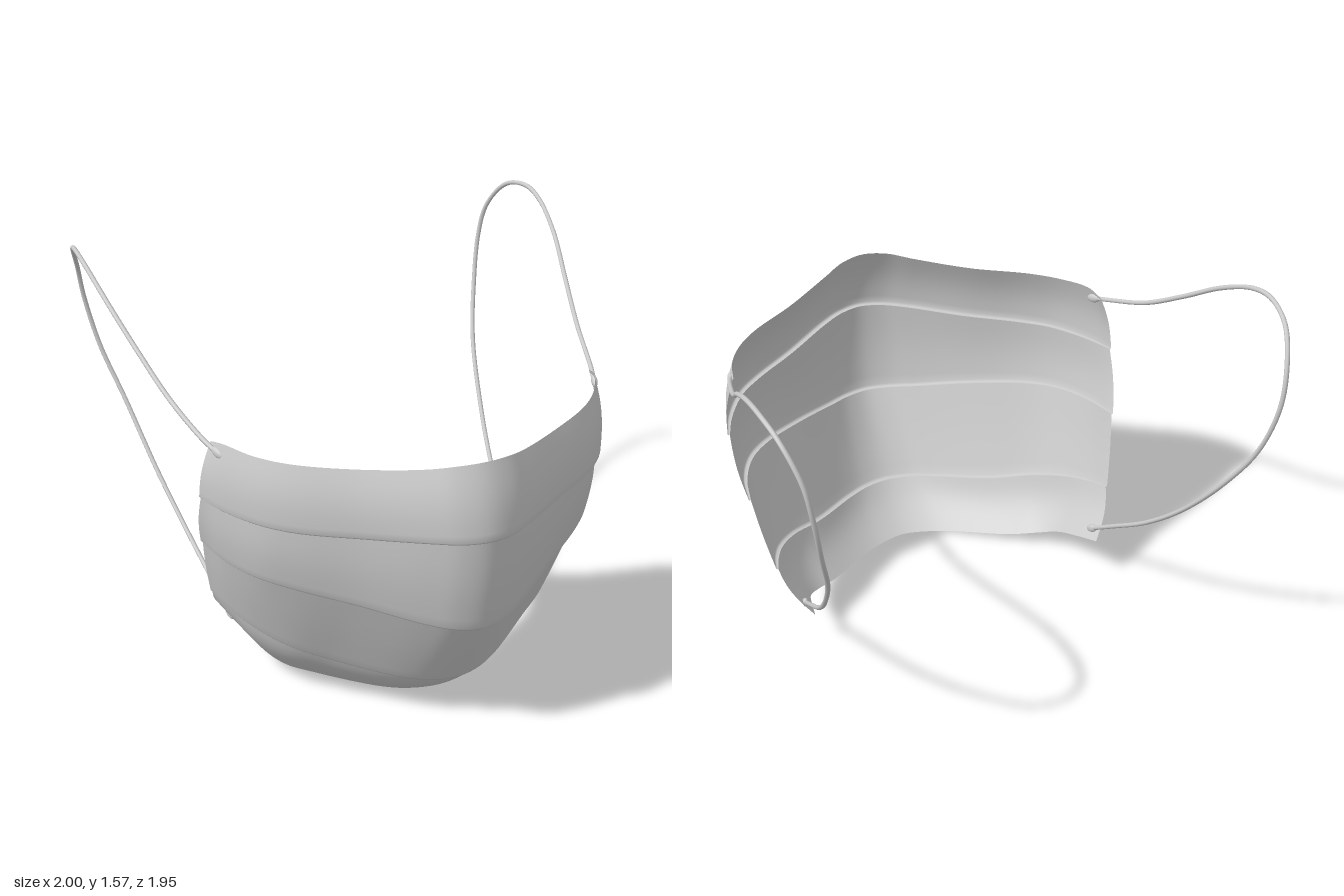
import * as THREE from 'three';

const material = new THREE.MeshStandardMaterial({ color: 0xcccccc, side: THREE.DoubleSide });
const COLS = 96;

// Half profiles of the fold lines, from the middle out to the left side edge.
const topEdge = [[0, 1.175, 0.89], [0.1, 1.168, 0.868], [0.2, 1.15, 0.81], [0.4, 1.13, 0.675],
  [0.6, 1.13, 0.54], [0.7, 1.135, 0.435], [0.77, 1.142, 0.31], [0.79, 1.125, 0.235]];
const fold1 = [[0, 0.9, 0.973], [0.1, 0.898, 0.95], [0.2, 0.895, 0.89], [0.4, 0.885, 0.742],
  [0.6, 0.882, 0.6], [0.7, 0.885, 0.5], [0.79, 0.888, 0.345], [0.835, 0.893, 0.21]];
const fold2 = [[0, 0.51, 0.915], [0.1, 0.515, 0.89], [0.2, 0.53, 0.83], [0.4, 0.578, 0.685],
  [0.6, 0.615, 0.53], [0.7, 0.628, 0.415], [0.77, 0.637, 0.26], [0.8, 0.645, 0.1]];
const fold3 = [[0, 0.172, 0.695], [0.1, 0.174, 0.675], [0.2, 0.182, 0.62], [0.4, 0.215, 0.465],
  [0.55, 0.258, 0.355], [0.65, 0.3, 0.23], [0.705, 0.332, 0.11], [0.735, 0.358, 0]];
const bottomEdge = [[0, 0.002, 0.475], [0.1, 0.003, 0.452], [0.2, 0.01, 0.4], [0.4, 0.036, 0.25],
  [0.5, 0.062, 0.18], [0.56, 0.1, 0.105], [0.595, 0.145, -0.01], [0.625, 0.187, -0.13]];

// Mirrors a half profile into a full curve and samples point + outward direction.
function sampleLine(half) {
  const right = half.slice(1).reverse().map(([x, y, z]) => [-x, y, z]);
  const curve = new THREE.CatmullRomCurve3([...right, ...half].map(p => new THREE.Vector3(...p)));
  return Array.from({ length: COLS + 1 }, (_, i) => {
    const u = i / COLS;
    const t = curve.getTangent(u);
    return { p: curve.getPoint(u), n: new THREE.Vector3(-t.z, 0, t.x).normalize() };
  });
}

// Moves a line inward and vertically, less so at the side edges.
function shiftLine(line, inward, dy) {
  return line.map(({ p, n }, i) => {
    const k = 1 - 0.7 * Math.pow(Math.abs(2 * i / COLS - 1), 4);
    const q = p.clone().addScaledVector(n, -inward * k);
    q.y += dy * k;
    return { p: q, n };
  });
}

// Smooth sheet through a list of rows running top to bottom.
function sheet(rows, name) {
  const pos = [], index = [], w = COLS + 1;
  rows.forEach(row => row.forEach(({ p }) => pos.push(p.x, p.y, p.z)));
  for (let j = 0; j < rows.length - 1; j++) {
    for (let i = 0; i < COLS; i++) {
      const a = j * w + i, b = a + w;
      index.push(a, b, b + 1, a, b + 1, a + 1);
    }
  }
  const g = new THREE.BufferGeometry();
  g.setAttribute('position', new THREE.Float32BufferAttribute(pos, 3));
  g.setIndex(index);
  g.computeVertexNormals();
  const mesh = new THREE.Mesh(g, material);
  mesh.name = name;
  return mesh;
}

// One panel: slightly bulged between two lines, with a hem rolled under its lower fold.
function panel(top, bottom, bulge, hem, name) {
  const rows = [], steps = 10;
  for (let j = 0; j <= steps; j++) {
    const t = j / steps;
    rows.push(top.map((a, i) => {
      const b = bottom[i];
      const n = a.n.clone().lerp(b.n, t).normalize();
      const p = a.p.clone().lerp(b.p, t).addScaledVector(n, bulge * Math.sin(Math.PI * t));
      return { p, n };
    }));
  }
  if (hem) rows.push(shiftLine(bottom, 0.008, -0.009), shiftLine(bottom, 0.026, -0.006));
  return sheet(rows, name);
}

// Ear loop path on the left side, from upper to lower corner.
const loopPath = [[0.785, 1.1, 0.29], [0.815, 1.13, 0.2], [0.865, 1.21, 0], [0.915, 1.33, -0.2],
  [0.963, 1.46, -0.4], [0.987, 1.545, -0.58], [0.988, 1.567, -0.71], [0.965, 1.53, -0.85],
  [0.925, 1.41, -0.945], [0.9, 1.27, -0.967], [0.86, 1.07, -0.92], [0.8, 0.86, -0.8],
  [0.745, 0.62, -0.6], [0.7, 0.44, -0.4], [0.665, 0.3, -0.2], [0.64, 0.205, -0.06]];

function earLoop(side) {
  const group = new THREE.Group();
  group.name = side > 0 ? 'leftEarLoop' : 'rightEarLoop';
  const pts = loopPath.map(([x, y, z]) => new THREE.Vector3(side * x, y, z));
  const cord = new THREE.Mesh(
    new THREE.TubeGeometry(new THREE.CatmullRomCurve3(pts), 120, 0.0095, 8), material);
  cord.name = 'cord';
  group.add(cord);
  // Flattened weld spots where the cord meets the mask.
  [[pts[0], pts[1]], [pts[pts.length - 1], pts[pts.length - 2]]].forEach(([p, next]) => {
    const spot = new THREE.Mesh(new THREE.SphereGeometry(1, 16, 10), material);
    spot.scale.set(0.012, 0.018, 0.034);
    spot.position.copy(p);
    spot.lookAt(next);
    spot.name = 'cordAnchor';
    group.add(spot);
  });
  return group;
}

export function createModel() {
  const model = new THREE.Group();
  model.name = 'pleatedFaceMask';
  const lines = [topEdge, fold1, fold2, fold3, bottomEdge].map(sampleLine);
  const names = ['nosePanel', 'upperPanel', 'lowerPanel', 'chinPanel'];
  const bulges = [0.014, 0.01, 0.004, 0.02];
  names.forEach((name, k) => {
    const top = k === 0 ? lines[0] : shiftLine(lines[k], 0.026, -0.006);
    model.add(panel(top, lines[k + 1], bulges[k], k < 3, name));
  });
  model.add(earLoop(1), earLoop(-1));
  return model;
}
